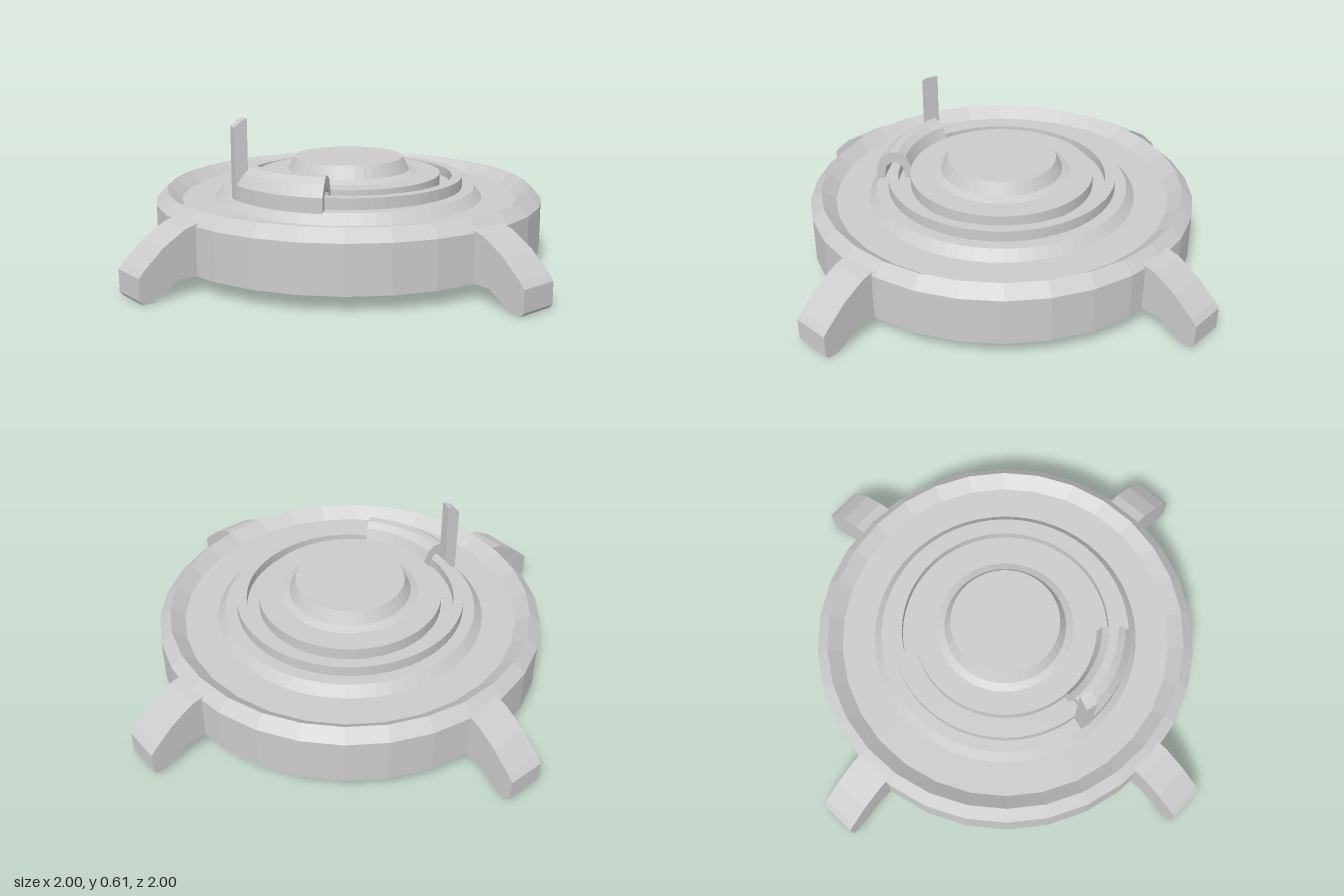
import * as THREE from 'three';

const mat = new THREE.MeshStandardMaterial({ color: 0xcccccc, flatShading: true });
const thinMat = new THREE.MeshStandardMaterial({ color: 0xcccccc, flatShading: true, side: THREE.DoubleSide });
const vec = (pts) => pts.map(([x, y]) => new THREE.Vector2(x, y));

export function createModel() {
  const model = new THREE.Group();
  const add = (name, geometry, parent = model, material = mat) => {
    const mesh = new THREE.Mesh(geometry, material);
    mesh.name = name;
    parent.add(mesh);
    return mesh;
  };

  // Disc body with a bevelled rim and a shallow tray
  add('base', new THREE.LatheGeometry(vec([
    [0, 0.062], [0.795, 0.062], [0.795, 0.25], [0.748, 0.295], [0.69, 0.25], [0, 0.25],
  ]), 30));

  // Stepped rings around the centre
  add('steppedRings', new THREE.LatheGeometry(vec([
    [0.558, 0.245], [0.52, 0.29], [0.472, 0.29], [0.472, 0.335], [0.43, 0.335],
    [0.43, 0.295], [0.38, 0.295], [0.38, 0.345], [0, 0.345],
  ]), 60));

  // Raised cap with a flared foot
  add('centreCap', new THREE.LatheGeometry(vec([
    [0.284, 0.345], [0.252, 0.358], [0.225, 0.41], [0, 0.41],
  ]), 40));

  // Four curved legs, profile drawn as (radius, height)
  const legWidth = 0.155;
  const legGeometry = new THREE.ExtrudeGeometry(new THREE.Shape(vec([
    [0.7, 0.064], [0.865, 0.064], [0.965, 0], [1.01, 0], [1.022, 0.015], [1.022, 0.1],
    [1.0, 0.125], [0.92, 0.195], [0.83, 0.248], [0.76, 0.265], [0.7, 0.249],
  ])), { depth: legWidth, bevelEnabled: false });
  legGeometry.translate(0, 0, -legWidth / 2);
  for (let i = 0; i < 4; i++) {
    const leg = add('leg' + (i + 1), legGeometry);
    leg.rotation.y = THREE.MathUtils.degToRad(16.8 + 90 * i);
  }

  // Arched cover following the ring, open underneath
  const cover = new THREE.Group();
  cover.name = 'archedCover';
  model.add(cover);
  const arch = vec([
    [0.525, 0.285], [0.525, 0.345], [0.495, 0.39], [0.465, 0.412], [0.43, 0.412],
    [0.4, 0.392], [0.38, 0.345], [0.38, 0.285], [0.405, 0.285], [0.415, 0.345],
    [0.435, 0.365], [0.465, 0.365], [0.485, 0.345], [0.495, 0.285],
  ]);
  const start = THREE.MathUtils.degToRad(-80.5);
  const sweep = THREE.MathUtils.degToRad(47);
  add('coverShell', new THREE.LatheGeometry([...arch, arch[0].clone()], 10, start, sweep), cover);
  const endGeometry = new THREE.ShapeGeometry(new THREE.Shape(arch));
  [start, start + sweep].forEach((phi) => {
    add('coverEnd', endGeometry, cover, thinMat).rotation.y = phi - Math.PI / 2;
  });

  // Upright post with a slanted tip
  const post = add('post', new THREE.ExtrudeGeometry(new THREE.Shape(vec([
    [-0.52, 0.285], [-0.468, 0.285], [-0.468, 0.605], [-0.485, 0.6], [-0.52, 0.572],
  ])), { depth: 0.05, bevelEnabled: false }));
  post.position.z = 0.05;

  return model;
}
